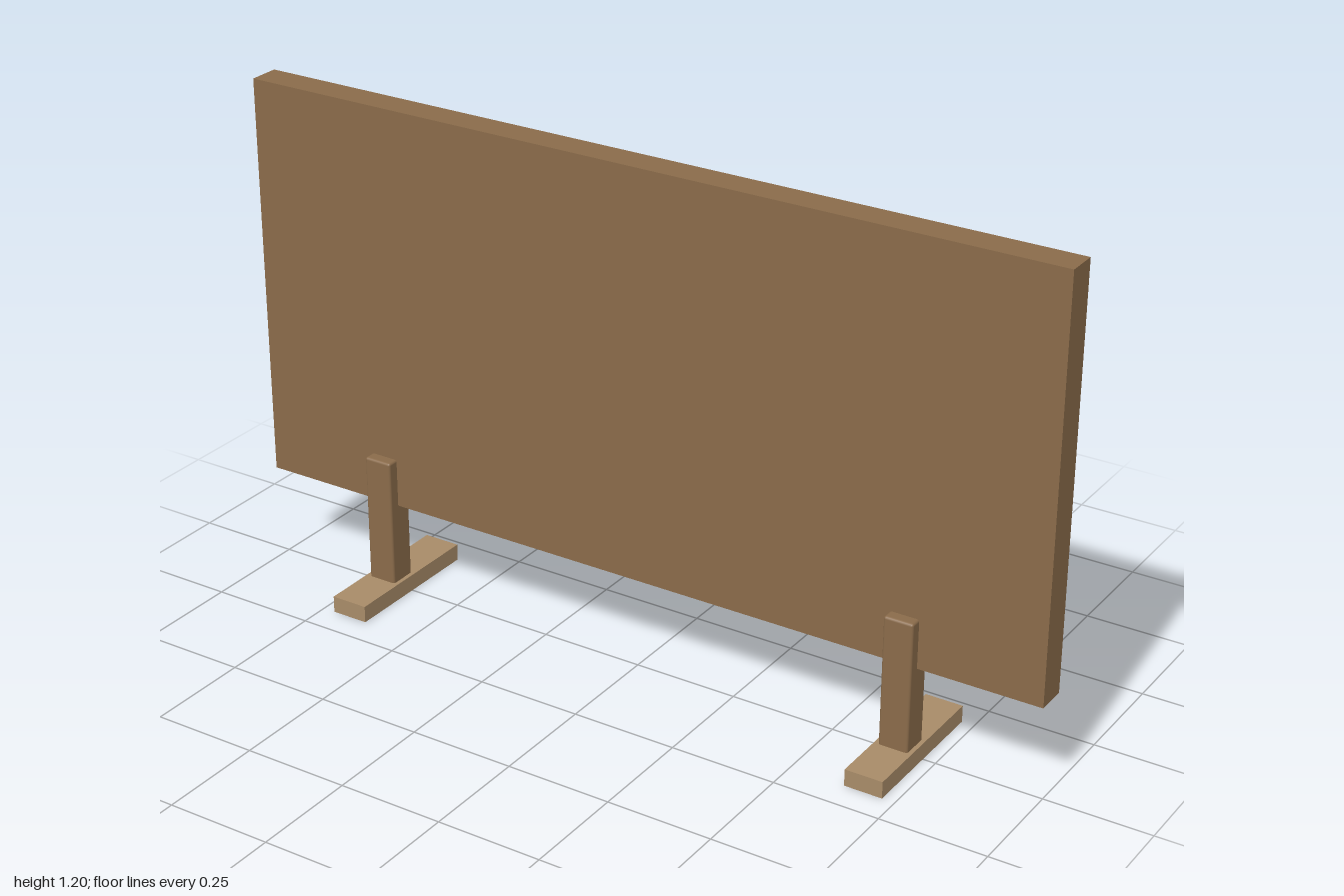
import * as THREE from 'three';
import { RoundedBoxGeometry } from 'three/addons/geometries/RoundedBoxGeometry.js';

const material = (name, color) => {
  const m = new THREE.MeshStandardMaterial({ color });
  m.name = name;
  return m;
};

export function createModel() {
  const wood = material('brown wood', 0x8a6b4a);
  const paleWood = material('pale wood', 0xa88b68);
  const paper = material('cream paper', 0xc6c1b2);
  const skyBlue = material('dusty blue', 0x84a1a8);
  const hillGreen = material('moss green', 0x6c7f5f);
  const group = new THREE.Group();

  const add = (name, geometry, mat, x, y, z) => {
    const mesh = new THREE.Mesh(geometry, mat);
    mesh.name = name;
    mesh.position.set(x, y, z);
    group.add(mesh);
  };
  // Box given by its lower and upper corners
  const box = (name, mat, [x0, y0, z0], [x1, y1, z1]) =>
    add(name, new THREE.BoxGeometry(x1 - x0, y1 - y0, z1 - z0), mat,
      (x0 + x1) / 2, (y0 + y1) / 2, (z0 + z1) / 2);

  // Board with the picture sheet and sky on its back
  box('board', wood, [-1, 0.233, -0.045], [1, 1.2, 0.028]);
  box('pictureSheet', paper, [-0.93, 0.3, -0.05], [0.93, 1.13, -0.044]);
  box('sky', skyBlue, [-0.9, 0.655, -0.052], [0.9, 1.1, -0.049]);

  // Two-peaked mountain silhouette
  const ridge = [[0.78, 0.635], [0.375, 0.98], [-0.2, 0.797], [-0.427, 0.928], [-0.755, 0.635]];
  const outline = new THREE.Shape(ridge.map(([x, y]) => new THREE.Vector2(x, y)));
  add('mountains', new THREE.ExtrudeGeometry(outline, { depth: 0.004, bevelEnabled: false }),
    hillGreen, 0, 0, -0.054);

  // Posts and feet, mirrored
  for (const side of [-1, 1]) {
    const x = side * 0.675;
    add('post', new RoundedBoxGeometry(0.07, 0.32, 0.068, 2, 0.006), wood, x, 0.19, 0.021);
    box('foot', paleWood, [x - 0.045, 0, -0.18], [x + 0.045, 0.04, 0.18]);
  }
  return group;
}
